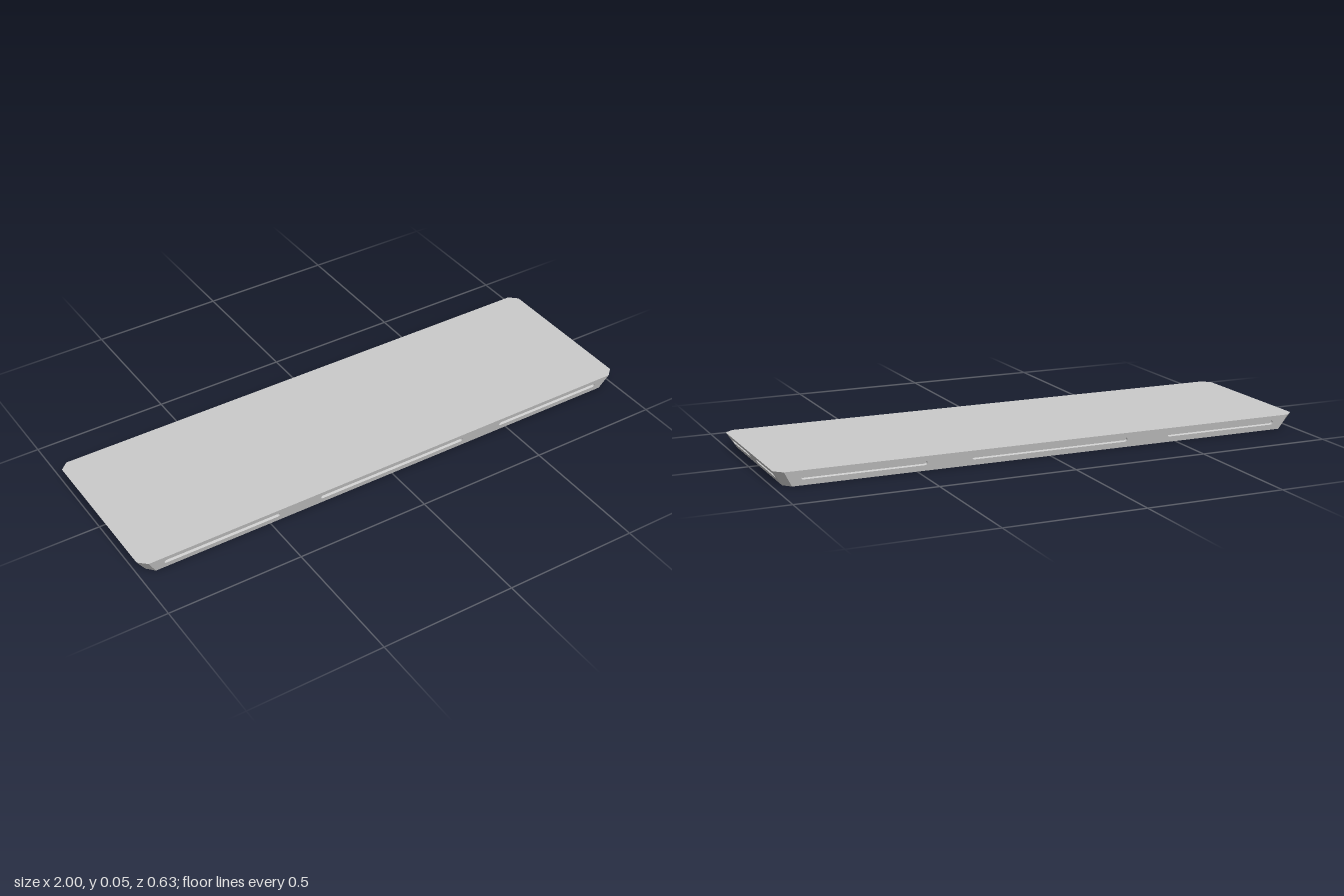
import * as THREE from 'three';

const H = 0.055;
// Half sizes of the plate at the top and bottom: full extents and the straight edge lengths
const TOP = { x: 1, z: 0.313, ex: 0.97, ez: 0.285 };
const BOTTOM = { x: 0.965, z: 0.299, ex: 0.94, ez: 0.271 };
const SLOT_Y = 0.029, SLOT_R = 0.008, SLOT_DEPTH = 0.011;

const material = new THREE.MeshStandardMaterial({ color: 0xcccccc, flatShading: true });

function addMesh(parent, geometry, name) {
  const flat = geometry.index ? geometry.toNonIndexed() : geometry;
  flat.computeVertexNormals();
  const mesh = new THREE.Mesh(flat, material);
  mesh.name = name;
  parent.add(mesh);
  return mesh;
}

// Triangles from corner lists; each quad is counter-clockwise seen from outside
function quads(list) {
  const p = list.flatMap(([a, b, c, d]) => [a, b, c, a, c, d]);
  return new THREE.BufferGeometry().setFromPoints(p);
}

// Chamfered rectangle outline, counter-clockwise
function outline({ x, z, ex, ez }) {
  return [[ex, -z], [x, -ez], [x, ez], [ex, z], [-ex, z], [-x, ez], [-x, -ez], [-ex, -z]]
    .map(([a, b]) => new THREE.Vector2(a, b));
}

// Round-ended slot outline, counter-clockwise
function slotOutline(from, to) {
  const points = [], n = 8;
  for (const [cx, start] of [[to - SLOT_R, -Math.PI / 2], [from + SLOT_R, Math.PI / 2]]) {
    for (let i = 0; i <= n; i++) {
      const a = start + Math.PI * i / n;
      points.push(new THREE.Vector2(cx + SLOT_R * Math.cos(a), SLOT_Y + SLOT_R * Math.sin(a)));
    }
  }
  return points;
}

// Sloping edge with recessed slots, built facing +z
function edgePanel(name, halfBottom, halfTop, outBottom, outTop, slots) {
  const group = new THREE.Group();
  group.name = name;
  const slope = (outTop - outBottom) / H;
  const inward = new THREE.Vector3(0, slope, -1).normalize();
  const place = (p, depth) =>
    new THREE.Vector3(p.x, p.y, outBottom + slope * p.y).addScaledVector(inward, depth);
  const bend = (geometry, depth) => {
    const pos = geometry.attributes.position;
    for (let i = 0; i < pos.count; i++) {
      const v = place({ x: pos.getX(i), y: pos.getY(i) }, depth);
      pos.setXYZ(i, v.x, v.y, v.z);
    }
    return geometry;
  };

  const face = new THREE.Shape([[-halfBottom, 0], [halfBottom, 0], [halfTop, H], [-halfTop, H]]
    .map(([x, y]) => new THREE.Vector2(x, y)));
  for (const [from, to] of slots) {
    const points = slotOutline(from, to);
    face.holes.push(new THREE.Path(points));
    addMesh(group, bend(new THREE.ShapeGeometry(new THREE.Shape(points)), SLOT_DEPTH), 'slotFloor');
    addMesh(group, quads(points.map((p, i) => {
      const q = points[(i + 1) % points.length];
      return [place(p, 0), place(q, 0), place(q, SLOT_DEPTH), place(p, SLOT_DEPTH)];
    })), 'slotWall');
  }
  addMesh(group, bend(new THREE.ShapeGeometry(face), 0), 'edgeFace');
  return group;
}

export function createModel() {
  const model = new THREE.Group();
  model.name = 'slottedPlate';

  // Top and bottom faces
  const top = addMesh(model, new THREE.ShapeGeometry(new THREE.Shape(outline(TOP))), 'topFace');
  top.rotation.x = -Math.PI / 2;
  top.position.y = H;
  const bottom = addMesh(model, new THREE.ShapeGeometry(new THREE.Shape(outline(BOTTOM))), 'bottomFace');
  bottom.rotation.x = Math.PI / 2;

  // Long edges with three slots, short edges with two
  const longSlots = [[-0.91, -0.465], [-0.3, 0.3], [0.465, 0.91]];
  const shortSlots = [[-0.252, -0.043], [0.043, 0.252]];
  ['frontEdge', 'leftEdge', 'backEdge', 'rightEdge'].forEach((name, i) => {
    const panel = i % 2 === 0
      ? edgePanel(name, BOTTOM.ex, TOP.ex, BOTTOM.z, TOP.z, longSlots)
      : edgePanel(name, BOTTOM.ez, TOP.ez, BOTTOM.x, TOP.x, shortSlots);
    panel.rotation.y = i * Math.PI / 2;
    model.add(panel);
  });

  // Chamfered corners
  for (const sx of [1, -1]) {
    for (const sz of [1, -1]) {
      const v = (x, y, z) => new THREE.Vector3(sx * x, y, sz * z);
      const corners = [v(BOTTOM.ex, 0, BOTTOM.z), v(BOTTOM.x, 0, BOTTOM.ez),
        v(TOP.x, H, TOP.ez), v(TOP.ex, H, TOP.z)];
      if (sx * sz < 0) corners.reverse();
      addMesh(model, quads([corners]), 'cornerChamfer');
    }
  }
  return model;
}
